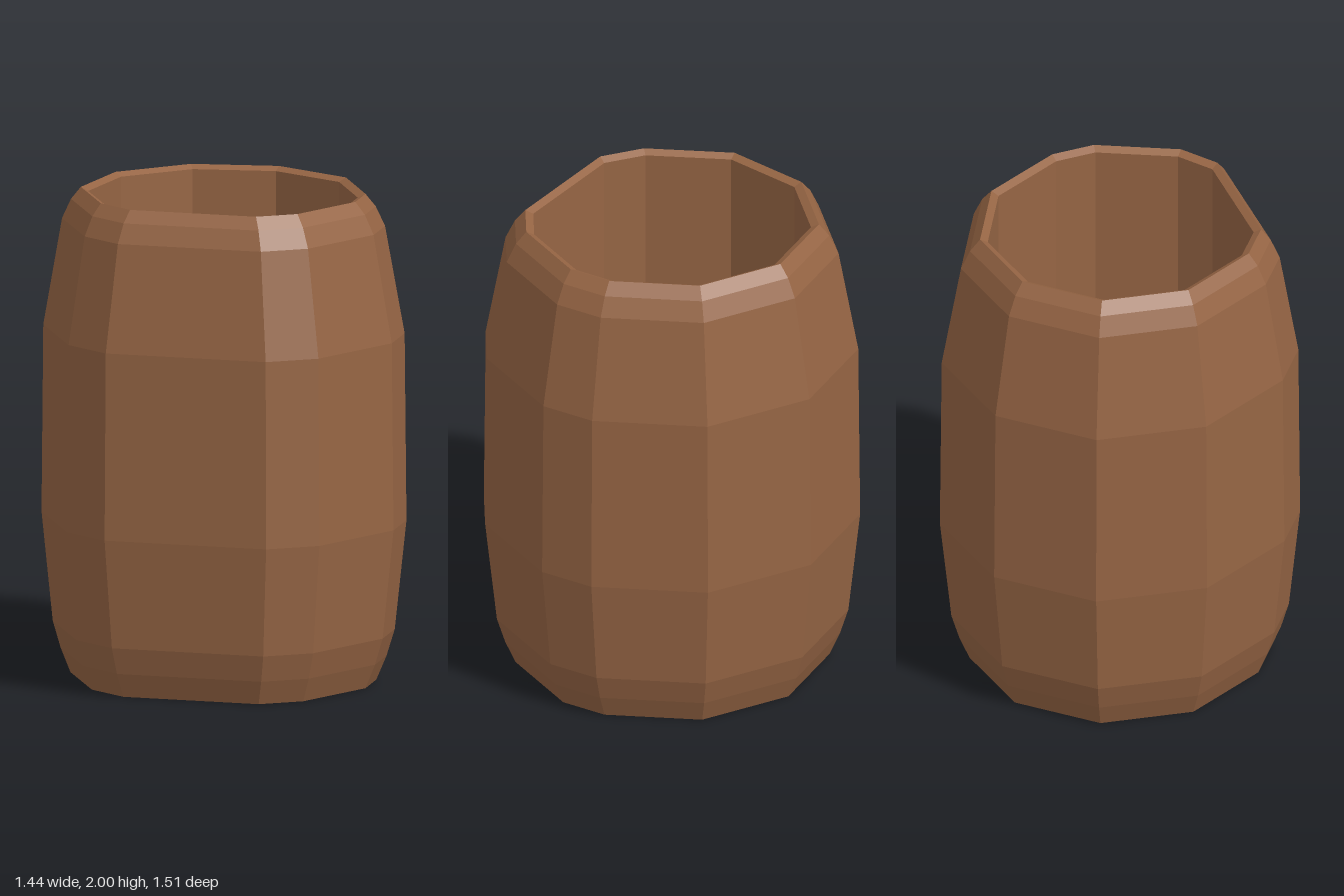
import * as THREE from 'three';

// Uneven eleven-sided outline [x, z] at the widest point, starting at the back
const OUTLINE = [
  [0, -0.755], [0.435, -0.63], [0.71, -0.26], [0.718, 0.215], [0.455, 0.61], [0.255, 0.73],
  [-0.2, 0.752], [-0.405, 0.65], [-0.72, 0.045], [-0.69, -0.195], [-0.43, -0.59],
];

// Sweeps the outline through rings of [scale, y]; a scale of 0 closes the form
function loft(rings) {
  const positions = [];
  const point = (i, [s, y]) => [OUTLINE[i][0] * s, y, OUTLINE[i][1] * s];
  for (let r = 0; r < rings.length - 1; r++) {
    const low = rings[r], high = rings[r + 1];
    for (let i = 0; i < OUTLINE.length; i++) {
      const j = (i + 1) % OUTLINE.length;
      const a = point(i, low), b = point(i, high), c = point(j, high), d = point(j, low);
      if (high[0] > 0) positions.push(...a, ...b, ...c);
      if (low[0] > 0) positions.push(...a, ...c, ...d);
    }
  }
  const geometry = new THREE.BufferGeometry();
  geometry.setAttribute('position', new THREE.Float32BufferAttribute(positions, 3));
  geometry.computeVertexNormals(); // unshared corners give flat facets
  return geometry;
}

export function createModel() {
  const barrel = new THREE.Group();
  barrel.name = 'barrel';
  const wood = new THREE.MeshStandardMaterial({ color: 0x966544 });
  wood.name = 'brown wood';

  const parts = {
    base: [[0, 0], [0.838, 0]],
    staves: [[0.838, 0], [0.893, 0.1], [0.937, 0.21], [1, 0.66], [0.99, 1.43], [0.885, 1.87], [0.835, 1.95], [0.78, 2]],
    rim: [[0.78, 2], [0.738, 1.984]],
    innerWall: [[0.738, 1.984], [0.738, 0.2]],
    innerFloor: [[0.738, 0.2], [0, 0.2]],
  };
  for (const [name, rings] of Object.entries(parts)) {
    const mesh = new THREE.Mesh(loft(rings), wood);
    mesh.name = name;
    barrel.add(mesh);
  }
  return barrel;
}
